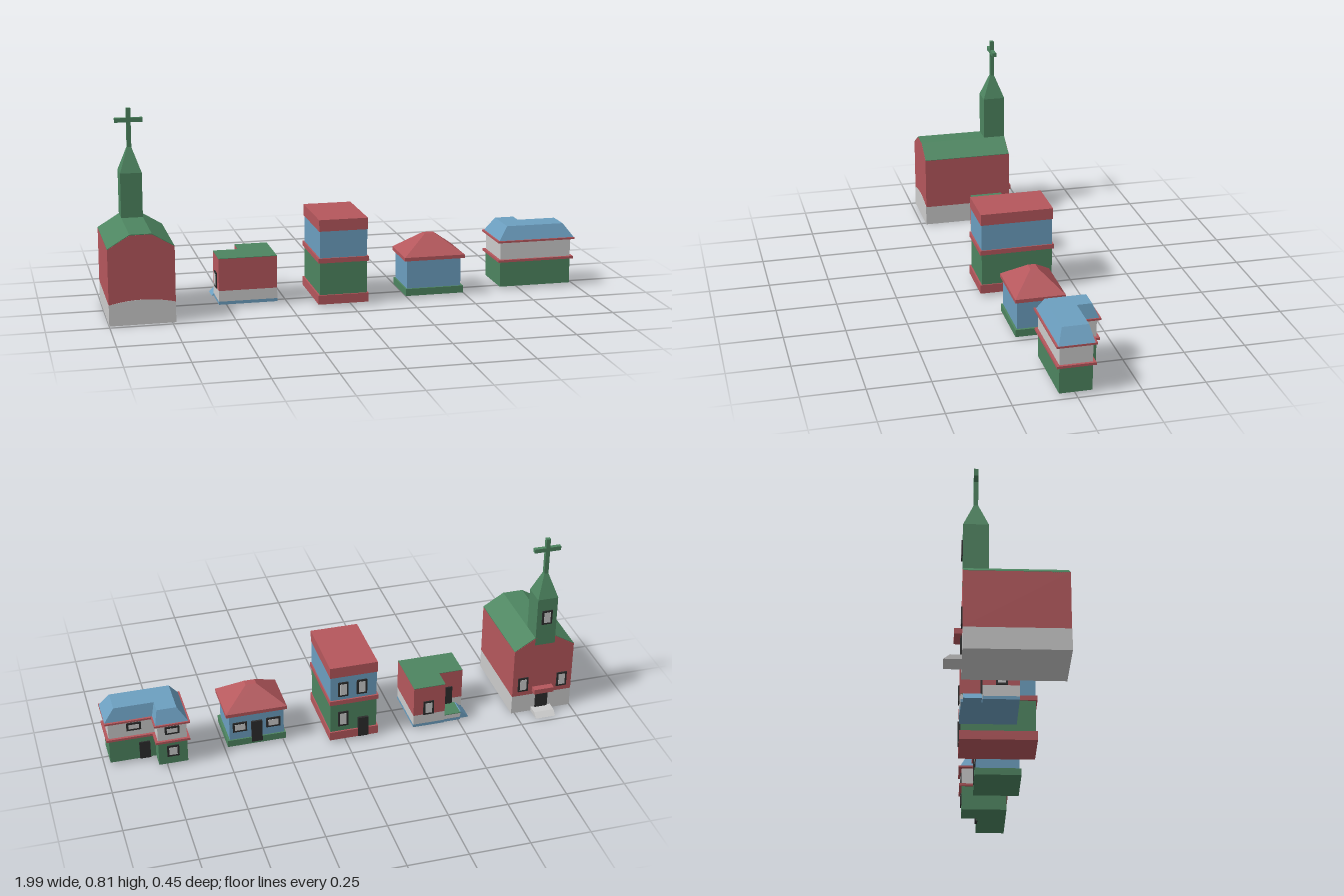
import * as THREE from 'three';

const mat = (color) => new THREE.MeshStandardMaterial({ color, flatShading: true });

export function createModel() {
  const root = new THREE.Group();
  root.name = 'village';
  const green = mat(0x4d8560), red = mat(0xb5575c), blue = mat(0x6c9fc0);
  const grey = mat(0xcccccc), dark = mat(0x2c2c2c);

  const building = (name) => {
    const g = new THREE.Group();
    g.name = name;
    root.add(g);
    return g;
  };
  const add = (g, name, geo, m) => {
    const mesh = new THREE.Mesh(geo, m);
    mesh.name = name;
    g.add(mesh);
    return mesh;
  };
  // Block given by its limits; r = [x0, x1, z0, z1], optional top rectangle makes a taper
  const block = (g, name, m, r, y0, y1, top = r) => {
    const geo = new THREE.BoxGeometry(1, 1, 1);
    const p = geo.attributes.position;
    for (let i = 0; i < p.count; i++) {
      const up = p.getY(i) > 0, q = up ? top : r;
      p.setXYZ(i, q[p.getX(i) > 0 ? 1 : 0], up ? y1 : y0, q[p.getZ(i) > 0 ? 3 : 2]);
    }
    geo.computeVertexNormals();
    return add(g, name, geo, m);
  };
  // Upright prism over a floor plan of [x, z] corners
  const prism = (g, name, m, plan, y0, y1) => {
    const s = new THREE.Shape(plan.map(([x, z]) => new THREE.Vector2(x, z)));
    const geo = new THREE.ExtrudeGeometry(s, { depth: y1 - y0, bevelEnabled: false });
    geo.rotateX(Math.PI / 2).translate(0, y1, 0);
    return add(g, name, geo, m);
  };
  // Profile in x, y pushed along z
  const extrudeZ = (g, name, m, shape, z0, z1) =>
    add(g, name, new THREE.ExtrudeGeometry(shape, { depth: z1 - z0, bevelEnabled: false }).translate(0, 0, z0), m);
  const outline = (pts) => new THREE.Shape(pts.map(([x, y]) => new THREE.Vector2(x, y)));
  // Dark frame with a pale pane, set on a back wall (turn moves it to a side wall)
  const windowAt = (g, x, z, y0, y1, w, turn = Math.PI) => {
    const win = new THREE.Group();
    win.name = 'window';
    const h = y1 - y0, t = 0.008;
    add(win, 'windowFrame', new THREE.BoxGeometry(w, h, 0.01), dark);
    add(win, 'windowPane', new THREE.BoxGeometry(w - 2 * t, h - 2 * t, 0.0115), grey);
    win.position.set(x, (y0 + y1) / 2, z);
    win.rotation.y = turn;
    g.add(win);
  };
  const door = (g, x, z, y0, y1, w = 0.045) =>
    block(g, 'door', dark, [x - w / 2, x + w / 2, z - 0.006, z + 0.005], y0, y1);

  // Church: nave, roof, stone base with arched front
  const church = building('church');
  const L = -1, R = -0.735, c = (L + R) / 2;
  extrudeZ(church, 'nave', red,
    outline([[L, 0.085], [R, 0.085], [R, 0.31], [c + 0.044, 0.363], [c - 0.044, 0.363], [L, 0.31]]), -0.16, 0.227);
  extrudeZ(church, 'naveRoof', green,
    outline([[L, 0.308], [c - 0.044, 0.361], [c + 0.044, 0.361], [R, 0.308], [R, 0.312],
      [c + 0.044, 0.366], [c - 0.044, 0.366], [L, 0.312]]), -0.159, 0.226);
  block(church, 'stoneBase', grey, [L, R, -0.16, 0.227], 0, 0.085);
  const arch = outline([[L, 0], [R, 0], [R, 0.085]]);
  arch.quadraticCurveTo(c, 0.118, L, 0.085);
  extrudeZ(church, 'stoneFront', grey, arch, 0.226, 0.2285);
  // Tower, spire and cross
  const tower = [c - 0.044, c + 0.044, -0.16, -0.065];
  const post = [c - 0.009, c + 0.009, -0.121, -0.104];
  block(church, 'tower', green, tower, 0.33, 0.55);
  block(church, 'spire', green, tower, 0.55, 0.65, post);
  block(church, 'crossPost', green, post, 0.65, 0.81);
  block(church, 'crossArm', green, [c - 0.057, c + 0.057, -0.121, -0.104], 0.752, 0.77);
  // Church entrance
  block(church, 'step', grey, [c - 0.044, c + 0.044, -0.226, -0.16], 0, 0.018, [c - 0.044, c + 0.044, -0.203, -0.16]);
  block(church, 'doorCanopy', red, [c - 0.044, c + 0.044, -0.189, -0.16], 0.1, 0.122);
  door(church, c, -0.16, 0.018, 0.1, 0.055);
  windowAt(church, c, -0.16, 0.43, 0.495, 0.045);
  for (const s of [-1, 1]) windowAt(church, c + s * 0.087, -0.16, 0.108, 0.175, 0.045);

  // Flat-roofed cottage with a corner porch
  const cottage = building('cottage');
  const cottagePlan = [[-0.295, -0.16], [-0.295, 0.065], [-0.537, 0.065], [-0.537, -0.075], [-0.433, -0.075], [-0.433, -0.16]];
  prism(cottage, 'cottageFooting', blue, cottagePlan, 0.012, 0.025);
  prism(cottage, 'cottageBase', grey, cottagePlan, 0.025, 0.07);
  prism(cottage, 'cottageWalls', red, cottagePlan, 0.07, 0.204);
  prism(cottage, 'cottageRoof', green, cottagePlan, 0.204, 0.206);
  const porch = [-0.505, -0.433, -0.157, -0.075];
  block(cottage, 'porchFooting', blue, porch, 0.012, 0.025);
  block(cottage, 'porchBase', grey, porch, 0.025, 0.044);
  block(cottage, 'porchFloor', green, porch, 0.044, 0.047);
  block(cottage, 'porchRamp', blue, [-0.545, -0.505, -0.148, -0.078], 0.012, 0.046, [-0.51, -0.505, -0.148, -0.078]);
  door(cottage, -0.47, -0.075, 0.047, 0.13);
  windowAt(cottage, -0.36, -0.16, 0.07, 0.135, 0.046);
  windowAt(cottage, -0.537, -0.002, 0.07, 0.135, 0.046, -Math.PI / 2);

  // Two-storey town house
  const town = building('townHouse');
  const wall = [-0.134, 0.064, -0.15, 0.15], ring = [-0.141, 0.069, -0.157, 0.157];
  block(town, 'townPlinth', red, ring, 0.012, 0.05);
  block(town, 'townLowerWalls', green, wall, 0.05, 0.185);
  block(town, 'townBand', red, ring, 0.185, 0.205);
  block(town, 'townUpperWalls', blue, wall, 0.205, 0.317);
  block(town, 'townParapet', red, [-0.137, 0.066, -0.153, 0.153], 0.317, 0.365);
  door(town, -0.075, -0.156, 0.014, 0.105);
  windowAt(town, 0.01, -0.15, 0.075, 0.145, 0.044);
  for (const x of [-0.07, 0.01]) windowAt(town, x, -0.15, 0.222, 0.29, 0.044);

  // Bungalow with a hipped roof
  const bungalow = building('bungalow');
  const eave = [0.235, 0.493, -0.092, 0.113];
  block(bungalow, 'bungalowPlinth', green, [0.24, 0.488, -0.086, 0.111], 0.011, 0.041);
  block(bungalow, 'bungalowWalls', blue, [0.247, 0.478, -0.08, 0.103], 0.041, 0.16);
  block(bungalow, 'bungalowEaves', red, eave, 0.16, 0.175);
  block(bungalow, 'bungalowRoof', red, eave, 0.175, 0.252, [0.343, 0.388, -0.006, 0.026]);
  door(bungalow, 0.363, -0.083, 0.02, 0.12, 0.046);
  for (const x of [0.292, 0.434]) windowAt(bungalow, x, -0.08, 0.078, 0.123, 0.06);

  // L-shaped house with a mansard roof
  const villa = building('cornerHouse');
  const ell = (o) => [[0.665 - o, -0.132 - o], [0.785 + o, -0.132 - o], [0.785 + o, -0.063 - o],
    [0.975 + o, -0.063 - o], [0.975 + o, 0.066 + o], [0.665 - o, 0.066 + o]];
  prism(villa, 'villaLowerWalls', green, ell(0), 0.012, 0.12);
  prism(villa, 'villaBand', red, ell(0.011), 0.12, 0.13);
  prism(villa, 'villaUpperWalls', grey, ell(0), 0.13, 0.205);
  prism(villa, 'villaEaves', red, ell(0.014), 0.205, 0.213);
  // The two roof wings overlap at the corner
  block(villa, 'mainRoof', blue, [0.658, 0.988, -0.068, 0.073], 0.213, 0.27, [0.698, 0.945, -0.054, 0.05]);
  block(villa, 'wingRoof', blue, [0.658, 0.793, -0.139, 0.073], 0.213, 0.27, [0.698, 0.78, -0.114, 0.05]);
  door(villa, 0.83, -0.063, 0.012, 0.092);
  windowAt(villa, 0.87, -0.063, 0.158, 0.194, 0.06);
  windowAt(villa, 0.725, -0.132, 0.158, 0.194, 0.06);
  windowAt(villa, 0.725, -0.132, 0.048, 0.1, 0.05);

  return root;
}
